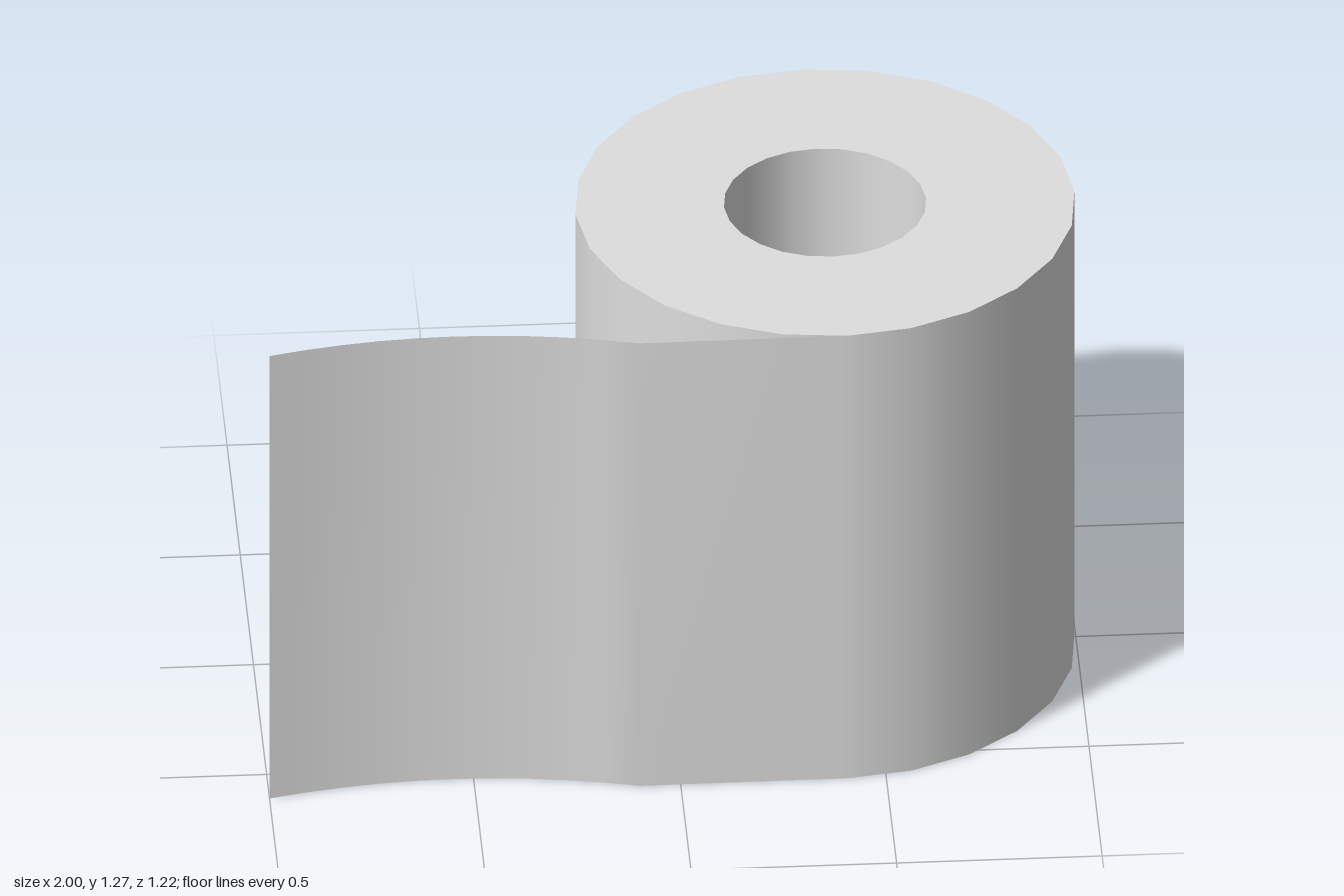
import * as THREE from 'three';

const HEIGHT = 1.27, OUTER = 0.608, INNER = 0.246, CENTRE_X = 0.39;
const SIDES = 24, TURN = THREE.MathUtils.degToRad(1.5);

export function createModel() {
  const group = new THREE.Group();
  group.name = 'paperRoll';
  const paper = new THREE.MeshStandardMaterial({ color: 0xdedede, side: THREE.DoubleSide });
  paper.name = 'paper';

  const add = (name, geometry, x, y) => {
    const mesh = new THREE.Mesh(geometry, paper);
    mesh.name = name;
    mesh.position.set(x, y, 0);
    group.add(mesh);
  };

  // Outer wall and the wall of the core hole
  const wall = (radius) =>
    new THREE.CylinderGeometry(radius, radius, HEIGHT, SIDES, 1, true, TURN);
  add('outerWall', wall(OUTER), CENTRE_X, HEIGHT / 2);
  add('coreWall', wall(INNER), CENTRE_X, HEIGHT / 2);

  // Ring-shaped ends, facing up and down
  const end = (side) =>
    new THREE.RingGeometry(INNER, OUTER, SIDES, 1, side * TURN).rotateX(-side * Math.PI / 2);
  add('topEnd', end(1), CENTRE_X, HEIGHT);
  add('bottomEnd', end(-1), CENTRE_X, 0);

  // Loose sheet: straight off the front of the roll, then a shallow sag to its free end
  const path = [[0.4, 0.608], [-0.1, 0.61]];
  const steps = 10;
  for (let i = 1; i <= steps; i++) {
    const t = i / steps;
    path.push([-0.1 - 0.9 * t, 0.61 - 0.24 * t * (1 - t)]);
  }
  path.reverse();
  const sheet = new THREE.PlaneGeometry(1, HEIGHT, path.length - 1, 1);
  const position = sheet.attributes.position;
  for (let i = 0; i < position.count; i++) {
    const [x, z] = path[i % path.length];
    position.setX(i, x);
    position.setZ(i, z);
  }
  sheet.computeVertexNormals();
  add('looseSheet', sheet, 0, HEIGHT / 2);

  return group;
}
